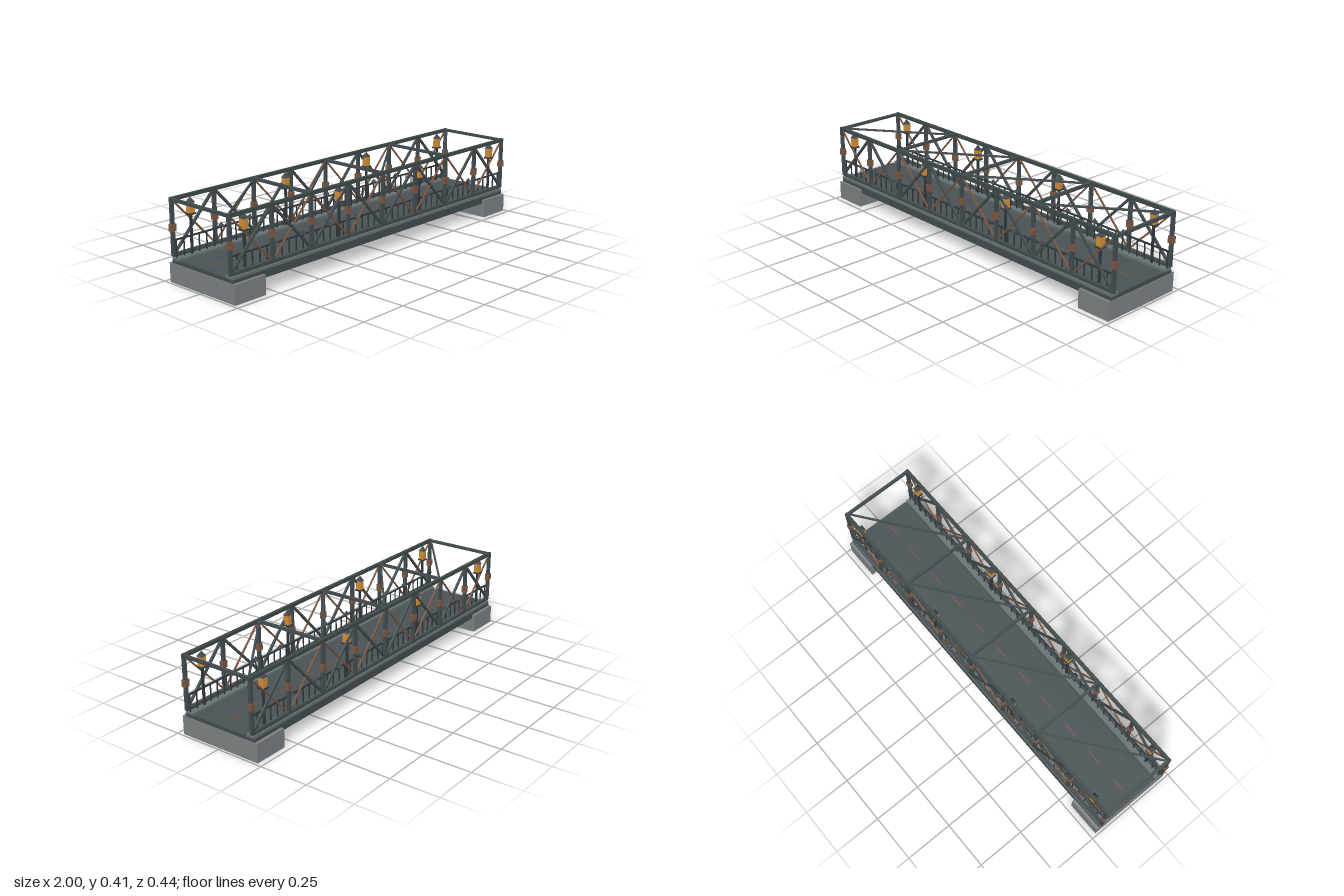
import * as THREE from 'three';

const paint = (name, color) => {
  const m = new THREE.MeshStandardMaterial({ color });
  m.name = name;
  return m;
};

export function createModel() {
  const steel = paint('dark steel', 0x434c50);
  const chordSteel = paint('weathered green steel', 0x3e4a48);
  const road = paint('road surface', 0x4a5256);
  const stone = paint('abutment stone', 0x7a8082);
  const curbGrey = paint('curb grey', 0x697173);
  const rust = paint('rusty iron', 0x7c5843);
  const amber = paint('amber glass', 0xd28e38);
  const black = paint('railing iron', 0x30383c);

  const model = new THREE.Group();
  model.name = 'trussBridge';

  const add = (name, geometry, material, x, y, z, parent = model) => {
    const mesh = new THREE.Mesh(geometry, material);
    mesh.name = name;
    mesh.position.set(x, y, z);
    parent.add(mesh);
    return mesh;
  };
  const box = (name, material, w, h, d, x, y, z, parent) =>
    add(name, new THREE.BoxGeometry(w, h, d), material, x, y, z, parent);
  // Square bar between two points
  const bar = (name, material, a, b, thick, parent) => {
    const from = new THREE.Vector3(...a), to = new THREE.Vector3(...b);
    const mid = from.clone().add(to).multiplyScalar(0.5);
    const mesh = box(name, material, thick, thick, from.distanceTo(to), mid.x, mid.y, mid.z, parent);
    mesh.lookAt(to);
    return mesh;
  };
  // Four-sided pyramid with sides parallel to the axes
  const pyramid = (name, material, half, h, x, y, z, parent) => {
    const g = new THREE.ConeGeometry(half * Math.SQRT2, h, 4).rotateY(Math.PI / 4).toNonIndexed();
    g.computeVertexNormals();
    return add(name, g, material, x, y + h / 2, z, parent);
  };

  const END = 0.985, PANELS = 8, STEP = (2 * END) / PANELS;
  const TRUSS_Z = 0.1935, RAIL_Z = 0.18;
  const LOW = 0.135, HIGH = 0.397;

  // Abutments, deck slab and roadway
  for (const s of [-1, 1]) box('abutment', stone, 0.18, 0.095, 0.444, s * 0.898, 0.0475, 0);
  box('deckSlab', steel, 2 * END, 0.037, 0.412, 0, 0.0925, 0);
  box('roadway', road, 2 * END, 0.005, 0.296, 0, 0.1135, 0);
  for (let i = -5; i <= 5; i++) box('laneDash', rust, 0.08, 0.002, 0.005, i * 0.178, 0.1165, 0);

  // Lantern on its own post
  const lantern = (x, z, parent) => {
    const g = new THREE.Group();
    g.name = 'lantern';
    g.position.set(x, 0, z);
    parent.add(g);
    box('lanternPost', black, 0.01, 0.188, 0.01, 0, 0.217, 0, g);
    box('lanternBase', black, 0.036, 0.007, 0.036, 0, 0.3135, 0, g);
    box('lanternGlass', amber, 0.028, 0.048, 0.028, 0, 0.341, 0, g);
    pyramid('lanternRoof', steel, 0.016, 0.027, 0, 0.365, 0, g);
  };

  // Side trusses with railings and lanterns
  for (const s of [-1, 1]) {
    const side = new THREE.Group();
    side.name = s > 0 ? 'frontTruss' : 'backTruss';
    model.add(side);
    const z = s * TRUSS_Z, rz = s * RAIL_Z;

    box('curb', curbGrey, 2 * END, 0.013, 0.047, 0, 0.1165, s * 0.1805, side);
    box('bottomChord', steel, 2 * END, 0.016, 0.016, 0, LOW, z, side);
    box('topChord', chordSteel, 2 * END + 0.016, 0.017, 0.016, 0, HIGH, z, side);

    for (let i = 0; i <= PANELS; i++) {
      const x = -END + i * STEP;
      box('post', steel, 0.016, 0.272, 0.0155, x, 0.266, z, side);
      box('postCollar', rust, 0.028, 0.034, 0.022, x, 0.265, z, side);
    }
    // Heavy braces alternate, with a light counter brace in each panel
    for (let i = 0; i < PANELS; i++) {
      const x0 = -END + i * STEP, x1 = x0 + STEP;
      const [a, b] = i % 2 ? [HIGH, LOW] : [LOW, HIGH];
      bar('brace', steel, [x0, a, z], [x1, b, z], 0.011, side);
      bar('counterBrace', rust, [x0, b, z], [x1, a, z], 0.007, side);
    }

    // Railing
    box('handrail', black, 2 * END, 0.007, 0.008, 0, 0.209, rz, side);
    for (let i = -22; i <= 22; i++) {
      const x = i * 0.0445;
      box('baluster', black, 0.005, 0.088, 0.005, x, 0.165, rz, side);
      if (i % 4 === 0 && Math.abs(i) < 20) pyramid('finial', steel, 0.012, 0.023, x, 0.211, rz, side);
    }
    for (const x of [-0.89, -0.295, 0.295, 0.89]) lantern(x, rz, side);
  }

  // Overhead portal struts and diagonal bracing
  for (let i = 0; i <= 4; i++) {
    const x = -END + i * STEP * 2;
    box('overheadStrut', steel, 0.014, 0.014, 0.38, x, HIGH, 0);
    if (i < 4) bar('overheadBrace', steel, [x, HIGH, 0.186], [x + STEP * 2, HIGH, -0.186], 0.009);
  }
  return model;
}
